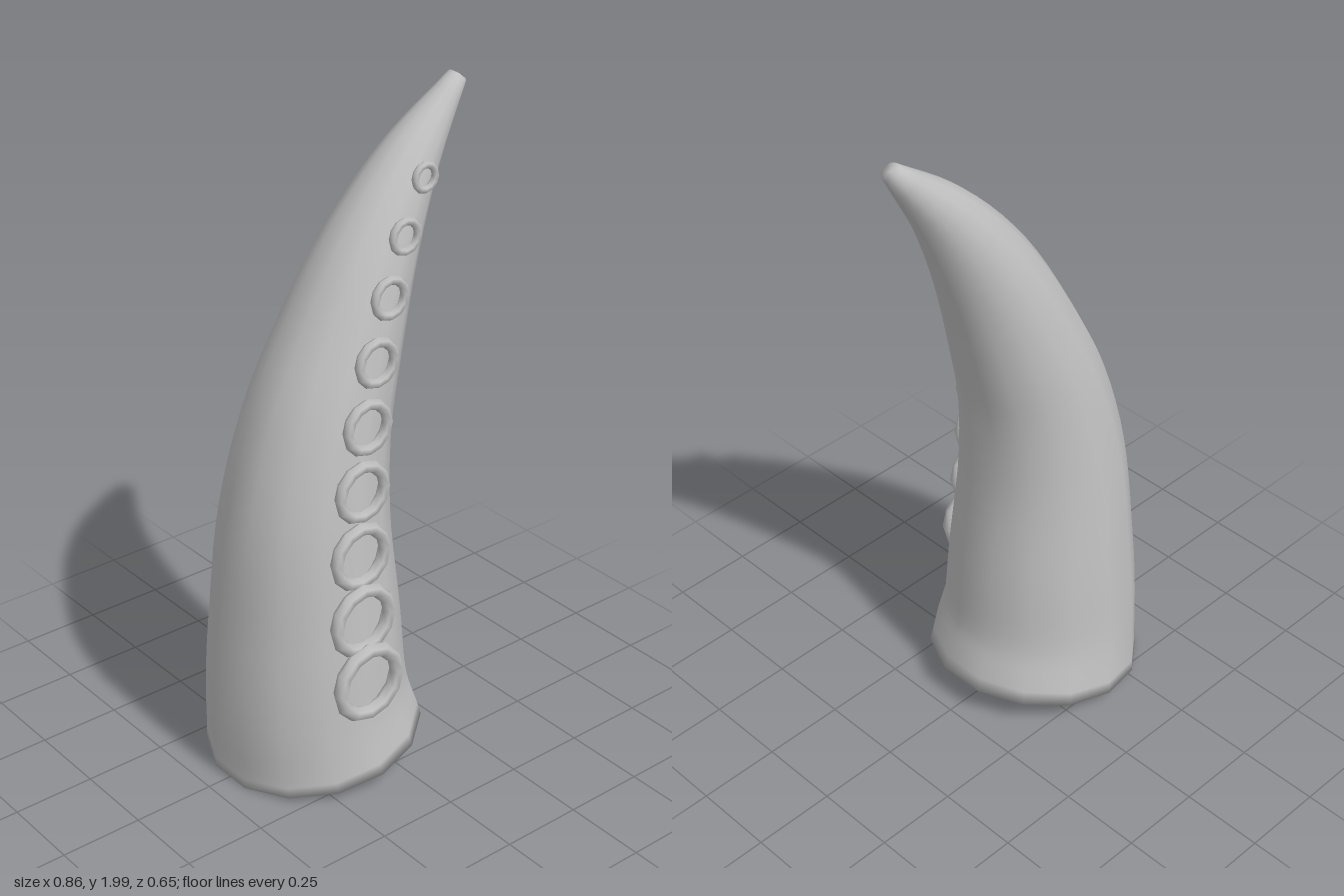
import * as THREE from 'three';

const SIDES = 14;
const STEPS = 36;

// Spine of the limb: x, y and, in the third slot, the radius there
const spine = new THREE.CatmullRomCurve3([
  [-0.11, 0.053, 0.325], [-0.136, 0.22, 0.3], [-0.14, 0.465, 0.28], [-0.138, 0.79, 0.247],
  [-0.095, 1.06, 0.215], [-0.025, 1.27, 0.187], [0.09, 1.54, 0.143],
  [0.233, 1.775, 0.09], [0.408, 1.978, 0.028],
].map((p) => new THREE.Vector3(...p)));

// Tapered tube along the spine, closed at both ends, with normals shared over the rims
function limbGeometry() {
  const pos = [], idx = [];
  for (let i = 0; i <= STEPS; i++) {
    const p = spine.getPoint(i / STEPS);
    const t = spine.getTangent(i / STEPS).setZ(0).normalize();
    for (let j = 0; j < SIDES; j++) {
      const a = ((j + 0.5) / SIDES) * Math.PI * 2;
      const across = p.z * Math.cos(a);
      pos.push(p.x + t.y * across, p.y - t.x * across, p.z * Math.sin(a));
    }
  }
  const base = pos.length / 3, tip = base + 1;
  const first = spine.getPoint(0), last = spine.getPoint(1);
  pos.push(first.x, first.y, 0, last.x + 0.004, last.y + 0.005, 0);

  for (let j = 0; j < SIDES; j++) {
    const k = (j + 1) % SIDES;
    for (let i = 0; i < STEPS; i++) {
      const a = i * SIDES + j, b = i * SIDES + k;
      idx.push(a, a + SIDES, b, b, a + SIDES, b + SIDES);
    }
    idx.push(base, j, k);
    idx.push(tip, STEPS * SIDES + k, STEPS * SIDES + j);
  }
  const g = new THREE.BufferGeometry();
  g.setAttribute('position', new THREE.Float32BufferAttribute(pos, 3));
  g.setIndex(idx);
  g.computeVertexNormals();
  return g;
}

export function createModel() {
  const model = new THREE.Group();
  model.name = 'tentacle';
  const grey = new THREE.MeshStandardMaterial({ color: 0xc0c0c0 });
  grey.name = 'grey';

  const limb = new THREE.Mesh(limbGeometry(), grey);
  limb.name = 'limb';
  model.add(limb);

  // Row of sucker rings on the front, shrinking towards the tip
  const suckers = new THREE.Group();
  suckers.name = 'suckers';
  [
    [-0.145, 0.38, 0.301], [-0.148, 0.575, 0.277], [-0.14, 0.77, 0.256],
    [-0.115, 0.955, 0.232], [-0.08, 1.135, 0.211], [-0.028, 1.305, 0.186],
    [0.037, 1.47, 0.161], [0.114, 1.62, 0.132], [0.205, 1.76, 0.105],
  ].forEach(([x, y, z], i) => {
    const outer = 0.125 - i * 0.0098;
    const tube = 0.022 - i * 0.0014;
    const ring = new THREE.Mesh(new THREE.TorusGeometry(outer - tube, tube, 6, 12), grey);
    ring.name = 'sucker' + (i + 1);
    ring.position.set(x, y, z);
    suckers.add(ring);
  });
  model.add(suckers);
  return model;
}
